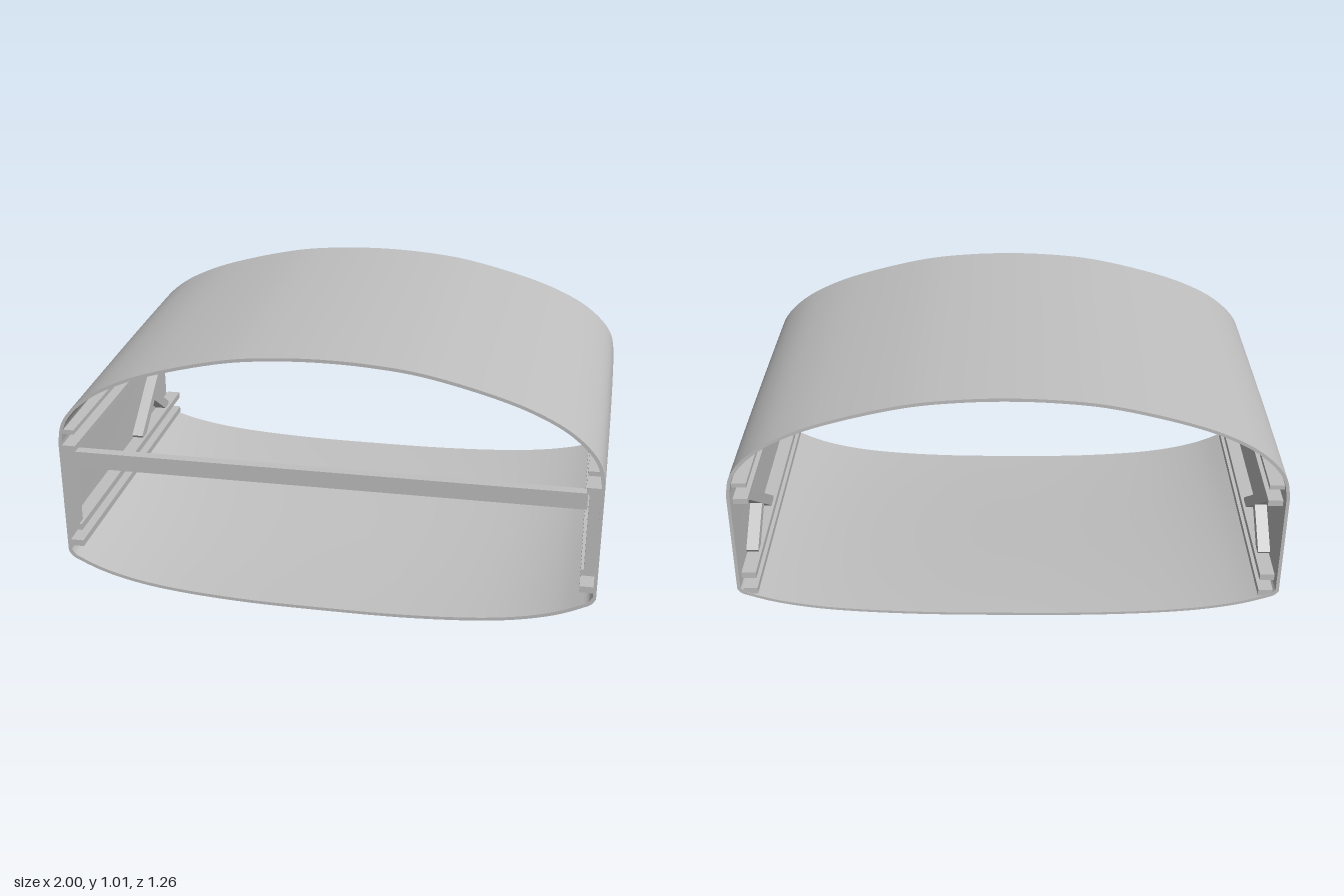
import * as THREE from 'three';

const HALF_DEPTH = 0.63;
const metal = new THREE.MeshStandardMaterial({ color: 0xc0c0c0 });
metal.name = 'plain grey';

// Right half of the roof (x, y) and of the floor (x, share of the side drop)
const ROOF = [[0, 1.006], [0.17, 1.0], [0.35, 0.98], [0.6, 0.92], [0.75, 0.868], [0.87, 0.805], [0.95, 0.735], [0.985, 0.68], [1, 0.61]];
const FLOOR = [[0, 0], [0.33, 0.03], [0.6, 0.16], [0.75, 0.32], [0.87, 0.54], [0.95, 0.77], [0.985, 0.9], [1, 1.05]];

const mirrored = half => [...half.slice(1).reverse().map(([x, y]) => [-x, y]), ...half];
const spline = (points, count) => new THREE.CatmullRomCurve3(
  points.map(([x, y]) => new THREE.Vector3(x, y, 0)), false, 'centripetal').getPoints(count);

// Closed cross-section at depth t (0 front, 1 back), shrunk inward by inset
function section(t, inset) {
  const width = 0.986 + 0.014 * Math.sin(t * Math.PI / 2);
  const ease = 0.55 * t + 0.45 * t * t * (3 - 2 * t);
  const low = THREE.MathUtils.lerp(0, 0.082, ease);
  const side = THREE.MathUtils.lerp(0.15, 0.19, t);
  const roof = spline(mirrored(ROOF), 96);
  const floor = spline(mirrored(FLOOR.map(([x, f]) => [x, low + f * (side - low)])), 80).reverse();
  return [...roof, ...floor].map(p => new THREE.Vector3(
    p.x * (width - inset),
    0.5 + (p.y + 0.004 * t - 0.5) * (1 - 2 * inset),
    HALF_DEPTH * (1 - 2 * t)));
}

// Skin a list of closed rings
function loft(rings) {
  const n = rings[0].length;
  const index = [];
  for (let i = 0; i < rings.length - 1; i++) {
    for (let j = 0; j < n; j++) {
      const a = i * n + j, b = i * n + (j + 1) % n;
      index.push(a, b, a + n, b, b + n, a + n);
    }
  }
  const geometry = new THREE.BufferGeometry().setFromPoints(rings.flat());
  geometry.setIndex(index);
  geometry.computeVertexNormals();
  return geometry;
}

export function createModel() {
  const model = new THREE.Group();
  model.name = 'curvedSleeve';

  const add = (name, geometry, parent = model) => {
    const mesh = new THREE.Mesh(geometry, metal);
    mesh.name = name;
    parent.add(mesh);
    return mesh;
  };
  const box = (name, parent, x0, x1, y0, y1, z0, z1) =>
    add(name, new THREE.BoxGeometry(x1 - x0, y1 - y0, z1 - z0), parent)
      .position.set((x0 + x1) / 2, (y0 + y1) / 2, (z0 + z1) / 2);

  // Thin tapered shell: outside, inside and the two open rims
  const steps = Array.from({ length: 17 }, (_, i) => i / 16);
  const outer = steps.map(t => section(t, 0));
  const inner = steps.map(t => section(t, 0.012));
  add('shellOutside', loft(outer));
  add('shellInside', loft([...inner].reverse()));
  add('frontRim', loft([inner[0], outer[0]]));
  add('backRim', loft([outer[16], inner[16]]));

  // Front frame: crossbar
  box('crossbar', model, -0.93, 0.93, 0.513, 0.576, 0.59, 0.628);

  // Rails, posts and braces on both side walls
  for (const s of [-1, 1]) {
    const wall = new THREE.Group();
    wall.name = s > 0 ? 'leftWallFittings' : 'rightWallFittings';
    model.add(wall);
    const fit = (name, inX, outX, y0, y1, z0, z1) =>
      box(name, wall, Math.min(s * inX, s * outX), Math.max(s * inX, s * outX), y0, y1, z0, z1);

    for (const [y0, y1] of [[0.645, 0.662], [0.576, 0.598], [0.25, 0.275], [0.18, 0.205]]) {
      fit('rail', 0.925, 0.978, y0, y1, -0.628, 0.628);
    }
    fit('frontPost', 0.935, 0.978, 0.275, 0.576, 0.59, 0.628);

    // Slanted struts, given by their ends (z, y)
    const strut = (name, z0, y0, z1, y1) => {
      const length = Math.hypot(z1 - z0, y1 - y0);
      const mesh = add(name, new THREE.BoxGeometry(0.045, 0.04, length), wall);
      mesh.position.set(s * 0.958, (y0 + y1) / 2, (z0 + z1) / 2);
      mesh.rotation.x = -Math.atan2(y1 - y0, z1 - z0);
    };
    strut('longBrace', -0.56, 0.575, -0.14, 0.27);
    strut('shortBrace', -0.49, 0.27, -0.31, 0.4);
  }
  return model;
}
